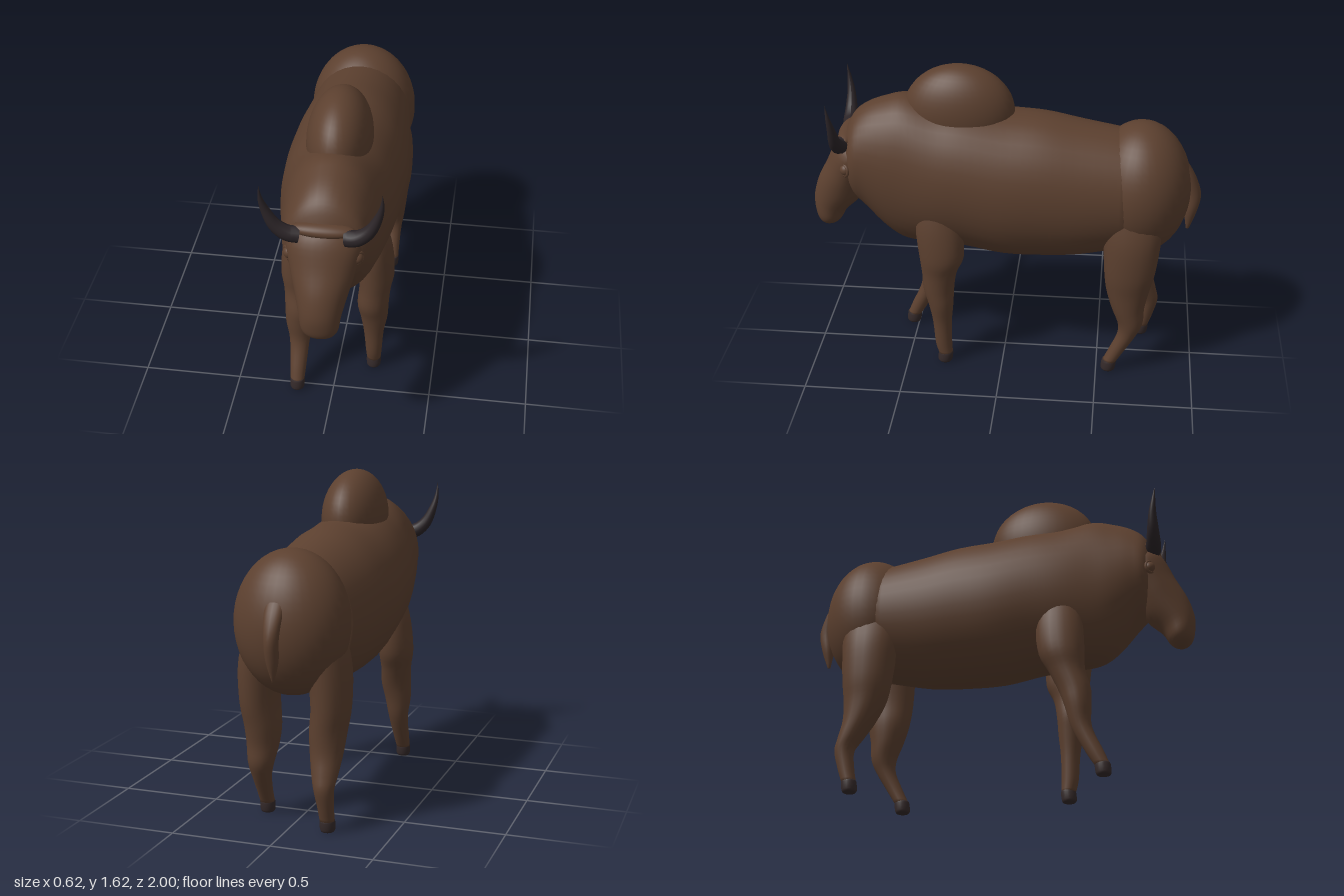
import * as THREE from 'three';

const material = (name, color) => Object.assign(new THREE.MeshStandardMaterial({ color }), { name });

// Smooth closed skin through oval sections [x, y, z, half width, half depth], travelling along dir
function loft(sections, dir, sides = 28, perSection = 4) {
  const d = new THREE.Vector3(...dir).normalize();
  const u = new THREE.Vector3(1, 0, 0);
  const v = d.clone().cross(u).normalize();
  const spline = (f) => new THREE.CatmullRomCurve3(sections.map(f), false, 'catmullrom', 0.5);
  const centres = spline((s) => new THREE.Vector3(s[0], s[1], s[2]));
  const radii = spline((s) => new THREE.Vector3(s[3], s[4], 0));
  const rings = (sections.length - 1) * perSection;
  const pos = [], index = [];
  for (let i = 0; i <= rings; i++) {
    const c = centres.getPoint(i / rings), r = radii.getPoint(i / rings);
    for (let j = 0; j < sides; j++) {
      const a = (j / sides) * Math.PI * 2;
      const p = c.clone().addScaledVector(u, Math.cos(a) * r.x).addScaledVector(v, Math.sin(a) * r.y);
      pos.push(p.x, p.y, p.z);
      if (i < rings) {
        const k = i * sides + j, n = i * sides + ((j + 1) % sides);
        index.push(k, n, n + sides, k, n + sides, k + sides);
      }
    }
  }
  // end caps
  const start = pos.length / 3, last = rings * sides;
  for (const t of [0, 1]) pos.push(...centres.getPoint(t).toArray());
  for (let j = 0; j < sides; j++) {
    const n = (j + 1) % sides;
    index.push(start, n, j, start + 1, last + j, last + n);
  }
  const g = new THREE.BufferGeometry();
  g.setAttribute('position', new THREE.Float32BufferAttribute(pos, 3));
  g.setIndex(index);
  g.computeVertexNormals();
  return g;
}

// Tube that narrows from its base radius to a point
function taperedTube(points, radius, segments = 20, sides = 14) {
  const curve = new THREE.CatmullRomCurve3(points.map((p) => new THREE.Vector3(...p)));
  const g = new THREE.TubeGeometry(curve, segments, radius, sides);
  const pos = g.attributes.position, p = new THREE.Vector3();
  for (let i = 0; i < pos.count; i++) {
    const t = Math.floor(i / (sides + 1)) / segments;
    const c = curve.getPointAt(t);
    p.fromBufferAttribute(pos, i).sub(c).multiplyScalar(1 - t ** 1.3).add(c);
    pos.setXYZ(i, p.x, p.y, p.z);
  }
  g.computeVertexNormals();
  return g;
}

export function createModel() {
  const hide = material('brown hide', 0x5c402f);
  const horn = material('dark horn', 0x2b2427);
  const hoof = material('dark hoof', 0x352a2a);
  const model = new THREE.Group();
  model.name = 'humpedBull';

  const add = (name, geometry, mat, parent = model) => {
    const mesh = new THREE.Mesh(geometry, mat);
    mesh.name = name;
    parent.add(mesh);
    return mesh;
  };
  const ellipsoid = (name, centre, size, mat, parent) => {
    const mesh = add(name, new THREE.SphereGeometry(1, 36, 24), mat, parent);
    mesh.position.set(...centre);
    mesh.scale.set(...size);
    return mesh;
  };

  // Barrel, shoulders and neck
  add('body', loft([
    [0, 0.985, -0.65, 0.26, 0.31],
    [0, 0.98, -0.4, 0.287, 0.36],
    [0, 0.992, -0.2, 0.303, 0.387],
    [0, 1.0, 0, 0.31, 0.393],
    [0, 1.03, 0.2, 0.297, 0.39],
    [0, 1.04, 0.35, 0.28, 0.39],
    [0, 1.06, 0.5, 0.25, 0.4],
    [0, 1.08, 0.6, 0.232, 0.36],
    [0, 1.115, 0.7, 0.21, 0.285],
    [0, 1.125, 0.77, 0.185, 0.215],
    [0, 1.125, 0.82, 0.1, 0.11],
  ], [0, 0, 1], 36), hide);
  ellipsoid('rump', [0, 1.0, -0.69], [0.28, 0.35, 0.255], hide);
  ellipsoid('hump', [0, 1.38, 0.23], [0.16, 0.245, 0.28], hide);

  // Tail hugging the rump
  add('tail', loft([
    [0, 1.16, -0.88, 0.05, 0.03],
    [0, 1.07, -0.935, 0.045, 0.03],
    [0, 0.97, -0.96, 0.035, 0.037],
    [0, 0.87, -0.95, 0.03, 0.032],
    [0, 0.77, -0.94, 0.006, 0.008],
  ], [0, -1, 0], 16), hide);

  // Head, sloping down to the muzzle
  const head = new THREE.Group();
  head.name = 'head';
  model.add(head);
  add('skull', loft([
    [0, 1.25, 0.75, 0.09, 0.05],
    [0, 1.16, 0.76, 0.175, 0.11],
    [0, 1.04, 0.81, 0.155, 0.115],
    [0, 0.93, 0.86, 0.125, 0.12],
    [0, 0.84, 0.912, 0.1, 0.092],
    [0, 0.77, 0.928, 0.088, 0.07],
    [0, 0.735, 0.94, 0.06, 0.042],
    [0, 0.722, 0.945, 0.01, 0.01],
  ], [0, -0.92, 0.39]), hide, head);
  ellipsoid('brow', [0, 1.245, 0.795], [0.15, 0.035, 0.05], hide, head);

  for (const [side, s] of [['left', 1], ['right', -1]]) {
    // Curved horns
    add(side + 'Horn', taperedTube([
      [0.11, 1.22, 0.81], [0.16, 1.23, 0.82], [0.215, 1.275, 0.825],
      [0.257, 1.36, 0.83], [0.274, 1.43, 0.84], [0.276, 1.5, 0.85],
    ].map(([x, y, z]) => [s * x, y, z]), 0.042), horn, head);
    // Eyes with rounded lids
    ellipsoid(side + 'Eye', [s * 0.155, 1.1, 0.79], [0.032, 0.032, 0.032], hide, head);
    const lid = add(side + 'Eyelid', new THREE.TorusGeometry(0.03, 0.008, 8, 20), hide, head);
    lid.position.set(s * 0.163, 1.1, 0.798);
    lid.rotation.y = s * 0.8;
  }

  // Legs: shared [x, y, half width, half depth] with a z path for each stride
  const front = [
    [0.18, 0.95, 0.06, 0.1], [0.195, 0.8, 0.08, 0.12], [0.197, 0.65, 0.09, 0.115],
    [0.19, 0.55, 0.08, 0.09], [0.182, 0.45, 0.08, 0.08], [0.187, 0.36, 0.07, 0.065],
    [0.186, 0.25, 0.052, 0.05], [0.187, 0.12, 0.042, 0.044], [0.187, 0.05, 0.036, 0.037],
  ];
  const hind = [
    [0.16, 0.95, 0.08, 0.15], [0.178, 0.78, 0.1, 0.145], [0.183, 0.6, 0.095, 0.13],
    [0.172, 0.48, 0.09, 0.11], [0.172, 0.38, 0.08, 0.085], [0.177, 0.29, 0.065, 0.065],
    [0.181, 0.22, 0.05, 0.05], [0.185, 0.13, 0.04, 0.042], [0.187, 0.05, 0.036, 0.036],
  ];
  const legs = [
    ['leftFrontLeg', 1, front, [0.33, 0.32, 0.31, 0.325, 0.33, 0.32, 0.315, 0.31, 0.3]],
    ['rightFrontLeg', -1, front, [0.33, 0.33, 0.34, 0.365, 0.4, 0.415, 0.43, 0.49, 0.525]],
    ['leftHindLeg', 1, hind, [-0.66, -0.66, -0.655, -0.65, -0.655, -0.67, -0.655, -0.61, -0.568]],
    ['rightHindLeg', -1, hind, [-0.66, -0.66, -0.665, -0.675, -0.7, -0.74, -0.768, -0.755, -0.735]],
  ];
  for (const [name, s, profile, path] of legs) {
    const leg = new THREE.Group();
    leg.name = name;
    model.add(leg);
    add('limb', loft(profile.map(([x, y, w, d], i) => [s * x, y, path[i], w, d]), [0, -1, 0], 20), hide, leg);
    const z = path[path.length - 1];
    add('hoof', loft([
      [s * 0.187, 0.062, z, 0.034, 0.035],
      [s * 0.187, 0.05, z, 0.038, 0.039],
      [s * 0.187, 0.012, z + 0.004, 0.037, 0.038],
      [s * 0.187, 0, z + 0.004, 0.03, 0.031],
    ], [0, -1, 0], 20, 2), hoof, leg);
  }
  return model;
}
